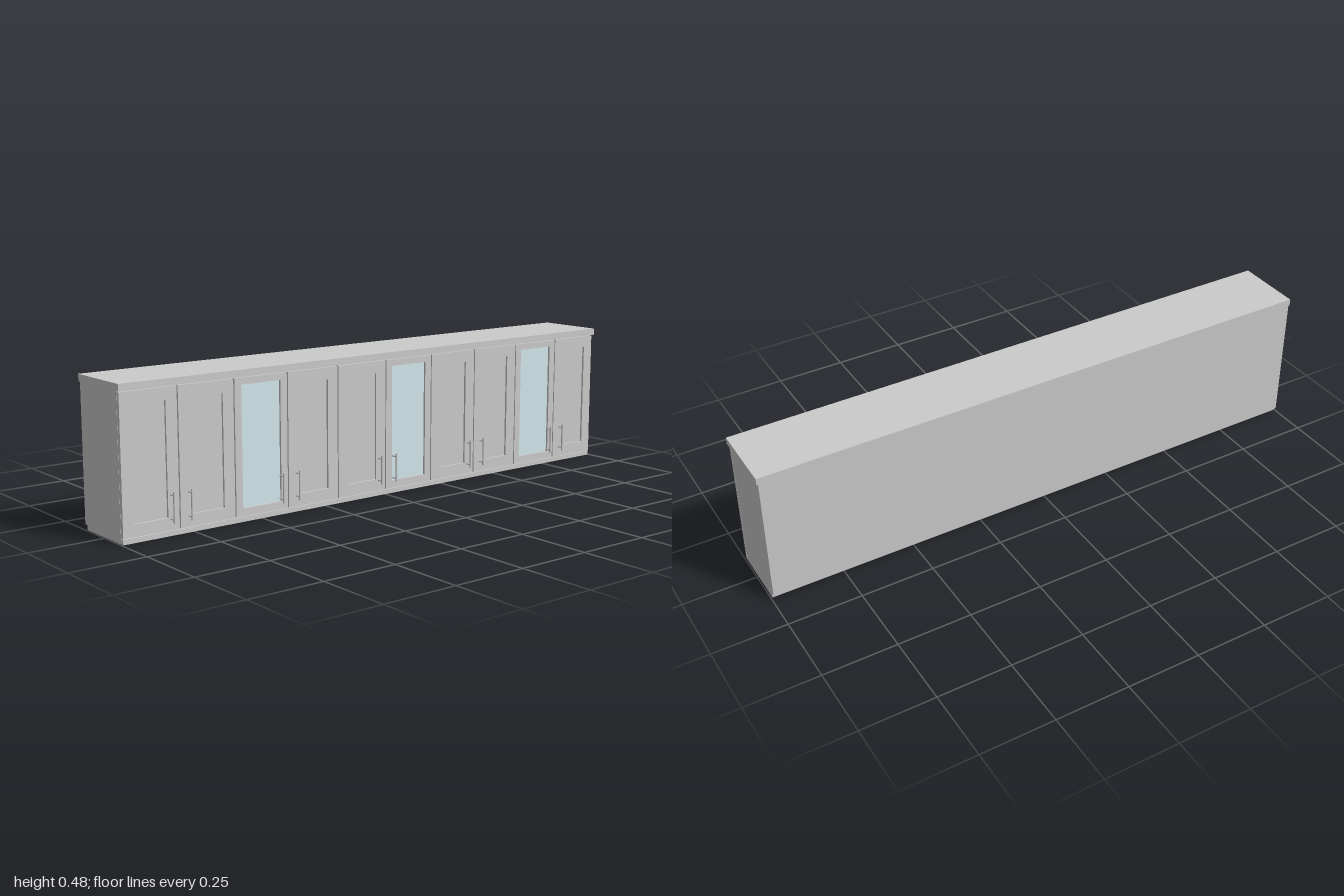
import * as THREE from 'three';

const grey = new THREE.MeshStandardMaterial({ color: 0xcccccc });
const glass = new THREE.MeshStandardMaterial({ color: 0xd4e8ee });

const HALF = 0.995;                       // half width of the cabinet run
const DOOR_BACK = 0.092, DOOR_FRONT = 0.105;
const DOOR_BOTTOM = 0.018, DOOR_TOP = 0.454;

// Box given by its lower and upper limits
function box(name, [x0, y0, z0], [x1, y1, z1], material = grey) {
  const mesh = new THREE.Mesh(new THREE.BoxGeometry(x1 - x0, y1 - y0, z1 - z0), material);
  mesh.position.set((x0 + x1) / 2, (y0 + y1) / 2, (z0 + z1) / 2);
  mesh.name = name;
  return mesh;
}

function rectangle(target, x0, y0, x1, y1) {
  target.moveTo(x0, y0);
  target.lineTo(x1, y0);
  target.lineTo(x1, y1);
  target.lineTo(x0, y1);
  target.closePath();
  return target;
}

// Framed door with a recessed panel or pane
function makeDoor(x0, x1, glazed) {
  const door = new THREE.Group();
  door.name = glazed ? 'glassDoor' : 'door';
  const border = glazed ? 0.025 : 0.039;
  const a = x0 + border, b = x1 - border;
  const c = DOOR_BOTTOM + border, d = DOOR_TOP - border + (glazed ? 0.003 : 0);

  const shape = rectangle(new THREE.Shape(), x0, DOOR_BOTTOM, x1, DOOR_TOP);
  shape.holes.push(rectangle(new THREE.Path(), a, c, b, d));
  const frame = new THREE.Mesh(
    new THREE.ExtrudeGeometry(shape, { depth: DOOR_FRONT - DOOR_BACK, bevelEnabled: false }), grey);
  frame.position.z = DOOR_BACK;
  frame.name = 'doorFrame';

  const panel = box(glazed ? 'glassPane' : 'doorPanel',
    [a, c, DOOR_BACK + 0.001], [b, d, DOOR_FRONT - 0.007], glazed ? glass : grey);
  door.add(frame, panel);
  return door;
}

// Upright bar on two short posts
function makeHandle(x) {
  const handle = new THREE.Group();
  handle.name = 'handle';
  const bar = new THREE.Mesh(new THREE.CylinderGeometry(0.0035, 0.0035, 0.098, 16), grey);
  bar.position.set(x, 0.091, 0.1245);
  bar.name = 'handleBar';
  handle.add(bar);
  for (const y of [0.053, 0.128]) {
    const post = new THREE.Mesh(new THREE.CylinderGeometry(0.0025, 0.0025, 0.021, 12), grey);
    post.rotation.x = Math.PI / 2;
    post.position.set(x, y, 0.1135);
    post.name = 'handlePost';
    handle.add(post);
  }
  return handle;
}

export function createModel() {
  const model = new THREE.Group();
  model.name = 'wallCabinets';

  // Carcass, set-in base and overhanging top
  model.add(
    box('carcass', [-HALF, 0.016, -0.127], [HALF, 0.457, DOOR_BACK - 0.001]),
    box('base', [-HALF, 0, -0.114], [HALF, 0.016, 0.104]),
    box('topCap', [-1, 0.457, -0.127], [1, 0.48, 0.112]),
  );

  // Ten doors in pairs, with the handles where each pair meets
  const glazedDoors = [2, 5, 8];
  const gap = 0.002;
  for (let i = 0; i < 10; i++) {
    const left = Math.max(-1 + i * 0.2 + gap, -HALF);
    const right = Math.min(-0.8 + i * 0.2 - gap, HALF);
    model.add(makeDoor(left, right, glazedDoors.includes(i)));
    const pairCentre = -0.8 + Math.floor(i / 2) * 0.4;
    model.add(makeHandle(pairCentre + (i % 2 ? 0.031 : -0.031)));
  }
  return model;
}
